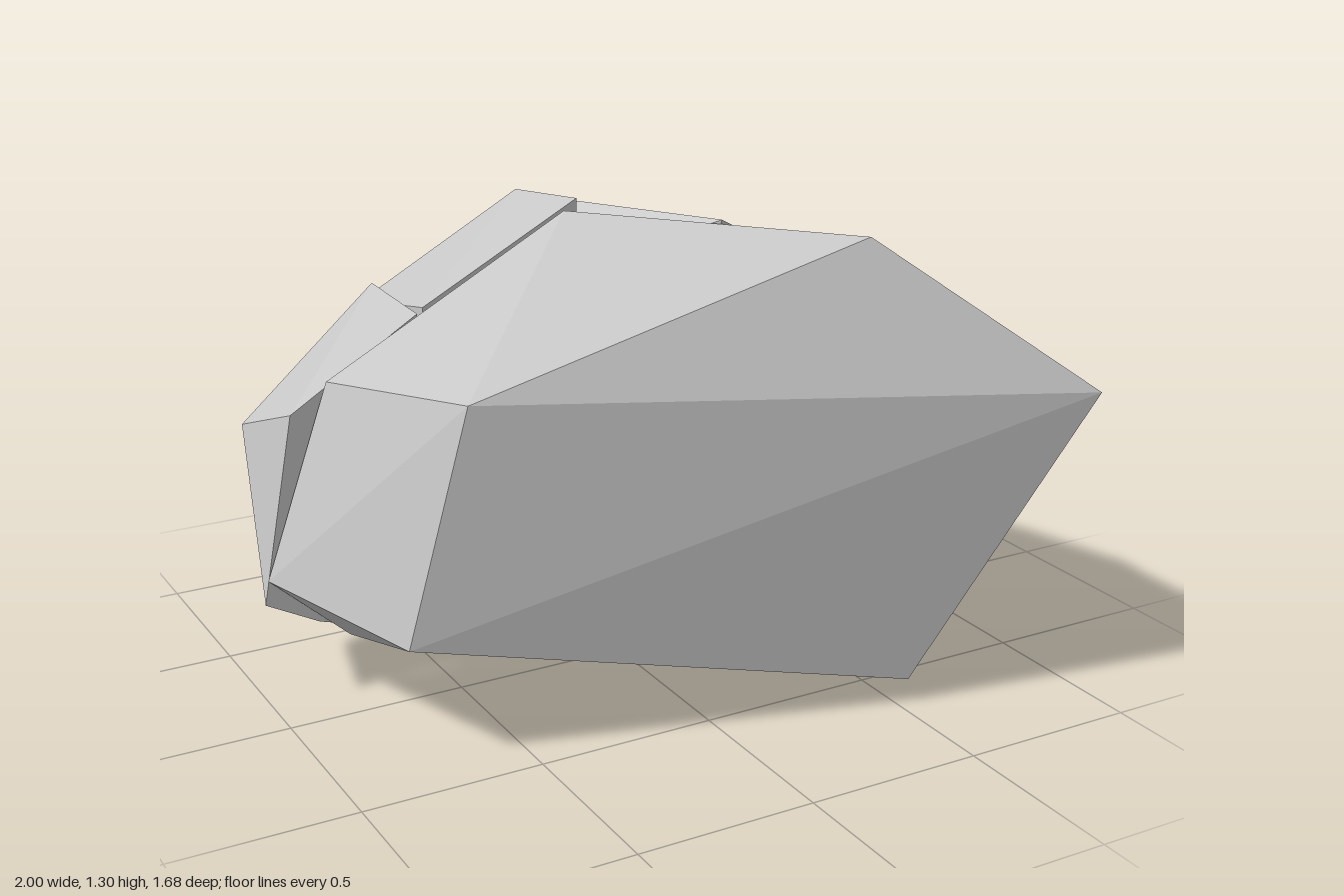
import * as THREE from 'three';
import { ConvexGeometry } from 'three/addons/geometries/ConvexGeometry.js';

// Each chunk of the split boulder is the convex hull of a few corners [x, y, z].
const chunks = {
  frontSlab: [
    // front outline
    [-0.80, 0.33, 0.36], [-0.63, 0.96, 0.38], [0.46, 1.28, 0.51], [0.985, 0.87, 0.84], [0.53, 0.07, 0.67],
    // back outline
    [-0.99, 0.37, -0.14], [-0.80, 0.90, -0.14], [-0.10, 1.28, -0.13], [0.96, 0.90, 0.19],
    [0.54, 0.01, 0.02], [-0.77, 0.17, -0.13],
  ],
  rearLeftBlock: [
    // top
    [0.20, 1.29, 0.20], [-0.04, 1.24, -0.54], [0.75, 0.81, -0.84], [1.00, 0.85, 0.19], [-0.04, 1.15, -0.05],
    // base
    [-0.03, 0.06, -0.03], [-0.03, 0.08, -0.68], [0.42, 0.09, -0.56], [0.54, 0.04, 0.02],
  ],
  rearMiddleBlock: [
    // inner side
    [-0.04, 1.30, -0.17], [-0.04, 1.25, -0.55], [-0.04, 0.33, -0.75], [-0.04, 0.00, -0.58], [-0.04, 0.06, -0.16],
    // outer side
    [-0.515, 1.06, -0.15], [-0.515, 0.97, -0.59], [-0.515, 0.40, -0.61], [-0.515, 0.10, -0.52], [-0.515, 0.10, -0.14],
  ],
  rearRightBlock: [
    // inner side
    [-0.525, 1.04, -0.165], [-0.525, 1.05, -0.48], [-0.525, 0.89, -0.605], [-0.525, 0.38, -0.65],
    [-0.525, 0.13, -0.51], [-0.525, 0.12, -0.15],
    // outer side
    [-0.90, 0.82, -0.15], [-0.90, 0.67, -0.56], [-1.00, 0.30, -0.145], [-0.89, 0.25, -0.42], [-0.85, 0.22, -0.145],
  ],
};

export function createModel() {
  const stone = new THREE.MeshStandardMaterial({ color: 0xc6c6c6, flatShading: true });
  stone.name = 'grey stone';

  const boulder = new THREE.Group();
  boulder.name = 'boulder';
  for (const [name, corners] of Object.entries(chunks)) {
    const points = corners.map(c => new THREE.Vector3(...c));
    const mesh = new THREE.Mesh(new ConvexGeometry(points), stone);
    mesh.name = name;
    boulder.add(mesh);
  }
  return boulder;
}
